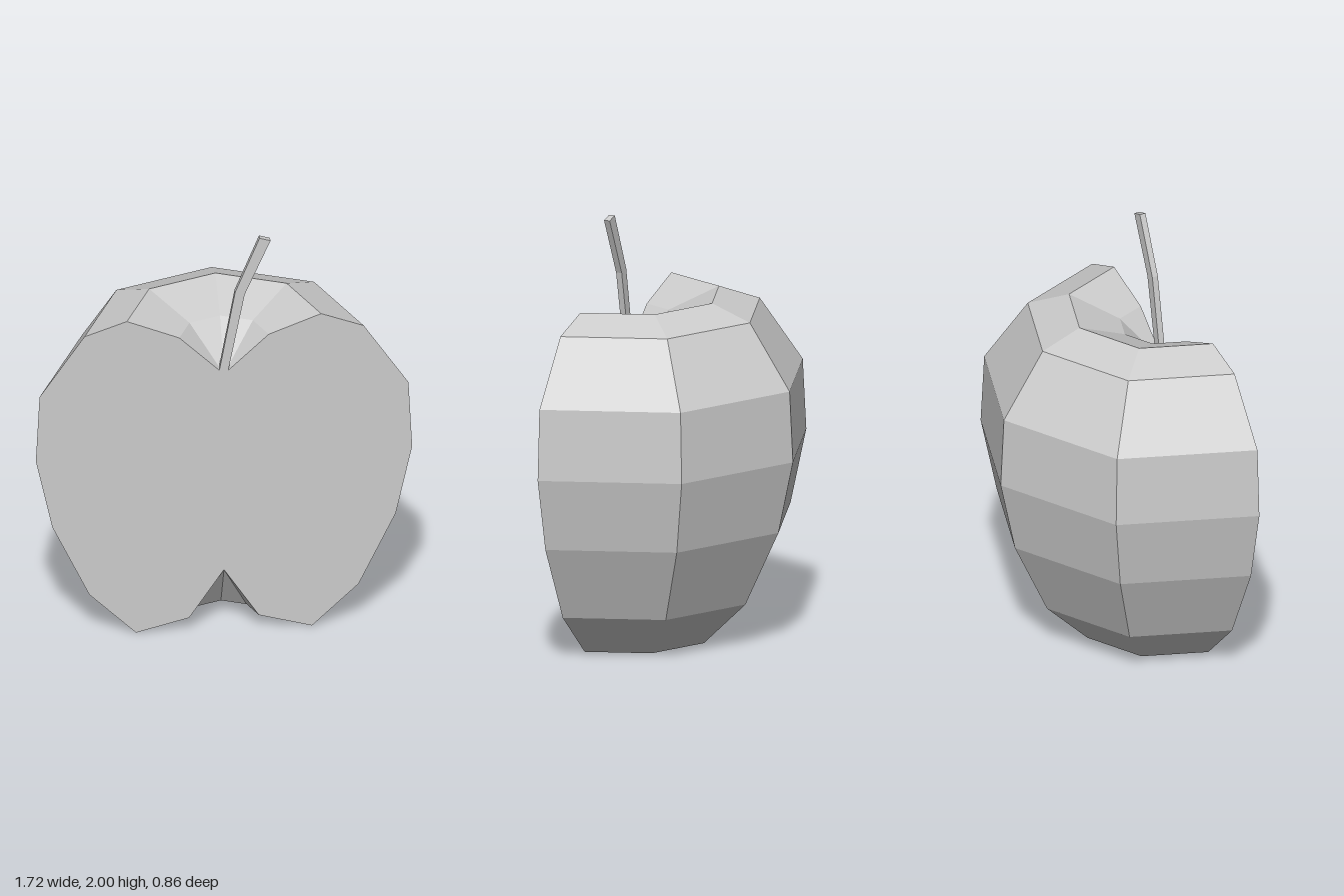
import * as THREE from 'three';

const CUT_Z = 0.431; // plane of the cut face

export function createModel() {
  const group = new THREE.Group();
  const material = new THREE.MeshStandardMaterial({ color: 0xcccccc, flatShading: true });

  const add = (name, geometry, z) => {
    const mesh = new THREE.Mesh(geometry, material);
    mesh.name = name;
    mesh.position.z = z;
    group.add(mesh);
  };

  // Half profile, from the bottom hollow round the outside to the top hollow
  const profile = [
    [0, 0.305], [0.16, 0.065], [0.403, 0], [0.617, 0.205], [0.787, 0.56], [0.862, 0.9],
    [0.845, 1.23], [0.64, 1.53], [0.445, 1.6], [0.205, 1.505], [0, 1.31],
  ].map(([x, y]) => new THREE.Vector2(x, y));

  // Skin: half of an eight-sided turned body
  add('appleSkin', new THREE.LatheGeometry(profile, 4, Math.PI / 2, Math.PI), CUT_Z);

  // Flat cut face: the profile and its mirror image
  const mirrored = profile.slice(1, -1).reverse().map((p) => new THREE.Vector2(-p.x, p.y));
  add('cutFace', new THREE.ShapeGeometry(new THREE.Shape([...profile, ...mirrored])), CUT_Z);

  // Bent stem, flush with the cut face
  const stem = new THREE.Shape([
    [0, 1.308], [0.019, 1.325], [0.095, 1.715], [0.213, 1.985],
    [0.163, 2], [0.051, 1.727], [-0.021, 1.33],
  ].map(([x, y]) => new THREE.Vector2(x, y)));
  const depth = 0.029;
  add('stem', new THREE.ExtrudeGeometry(stem, { depth, bevelEnabled: false }), CUT_Z - depth);

  return group;
}
